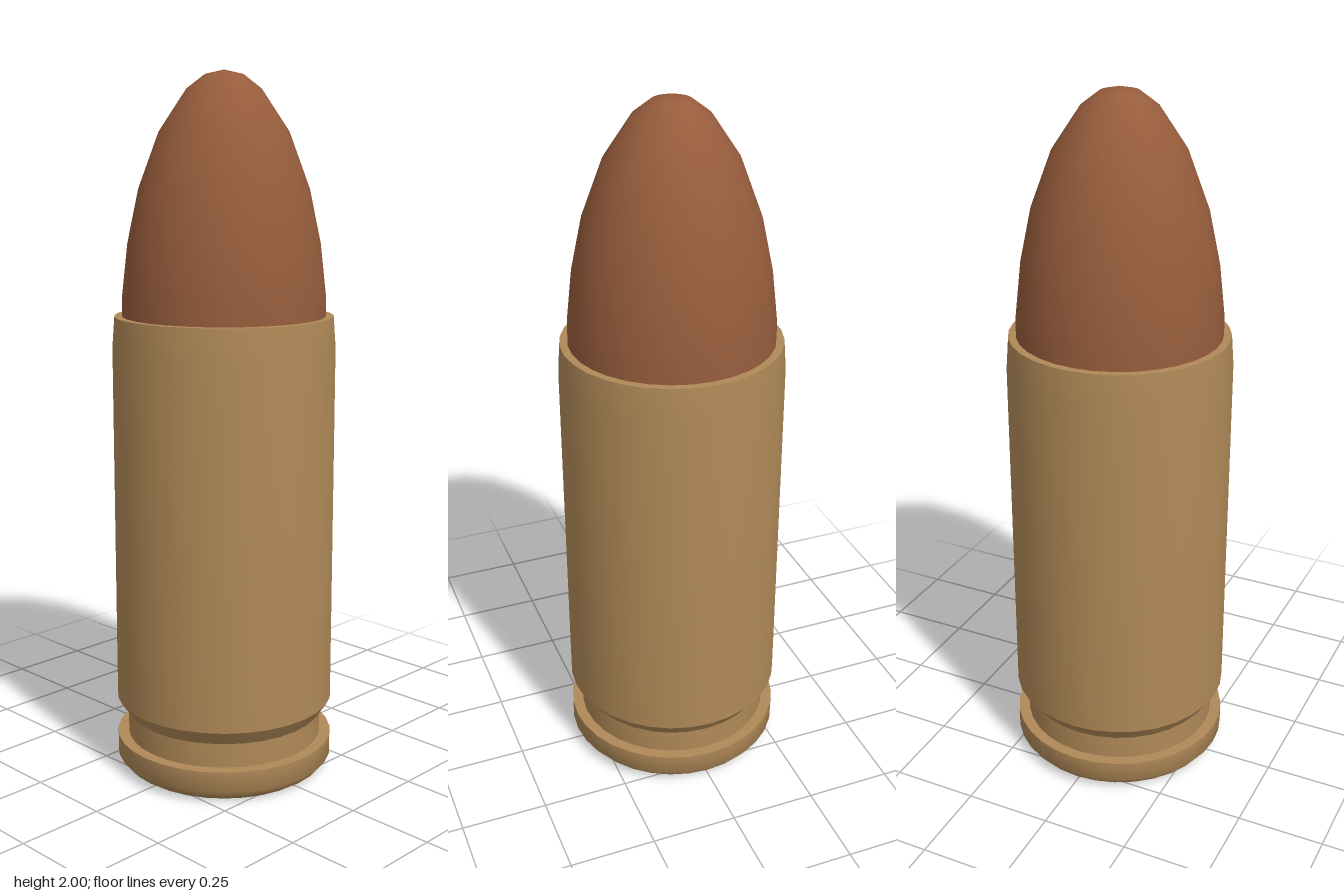
import * as THREE from 'three';
import { toCreasedNormals } from 'three/addons/utils/BufferGeometryUtils.js';

const SIDES = 32;

export function createModel() {
  const group = new THREE.Group();
  const brass = new THREE.MeshStandardMaterial({ color: 0xb08957 });
  brass.name = 'brass';
  const copper = new THREE.MeshStandardMaterial({ color: 0x965c3c });
  copper.name = 'copper';

  // Turned part from [radius, height] points, with edges kept sharp above the crease angle
  function turned(name, profile, material, crease) {
    const points = profile.map(([r, y]) => new THREE.Vector2(r, y));
    const geometry = toCreasedNormals(new THREE.LatheGeometry(points, SIDES), crease);
    const mesh = new THREE.Mesh(geometry, material);
    mesh.name = name;
    group.add(mesh);
  }

  // Base rim with a soft lower edge and a pocket for the primer
  turned('rim', [
    [0.155, 0.03], [0.167, 0.03], [0.167, 0], [0.28, 0], [0.298, 0.012],
    [0.316, 0.035], [0.316, 0.095], [0.284, 0.095],
  ], brass, 0.8);

  // Primer disc set into the base
  turned('primer', [[0, 0.003], [0.157, 0.003], [0.157, 0.03]], brass, 0.6);

  // Extractor groove, bevel, straight wall and slightly tapered mouth
  turned('case', [
    [0.284, 0.09], [0.284, 0.165], [0.316, 0.21], [0.316, 1.24],
    [0.309, 1.33], [0.286, 1.33], [0.275, 1.25],
  ], brass, 0.5);

  // Rounded projectile seated in the mouth
  turned('projectile', [
    [0, 1.24], [0.287, 1.24], [0.287, 1.38], [0.27, 1.53], [0.238, 1.68],
    [0.18, 1.835], [0.103, 1.95], [0.053, 1.988], [0, 2],
  ], copper, 1.0);

  return group;
}
